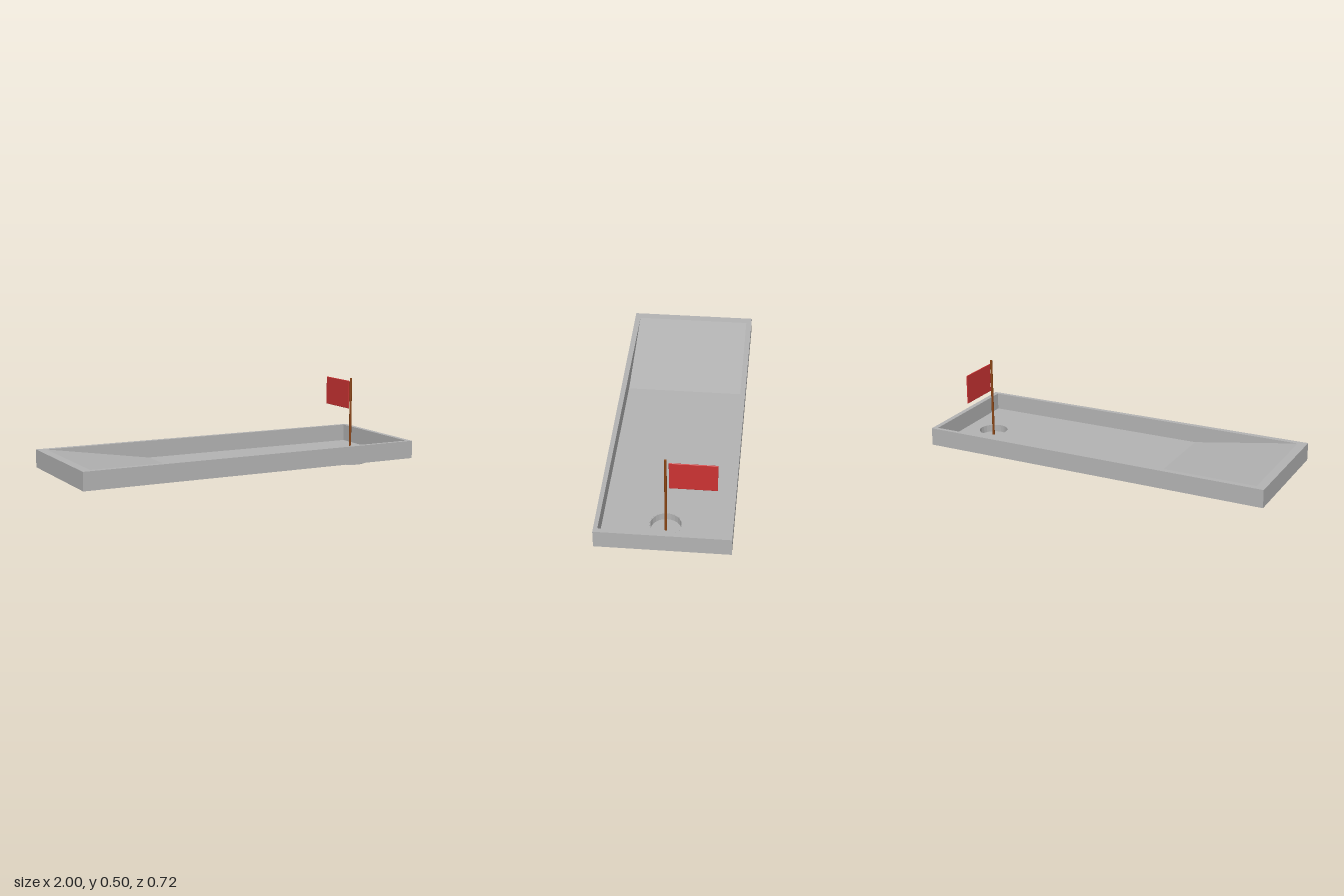
import * as THREE from 'three';
import { RoundedBoxGeometry } from 'three/addons/geometries/RoundedBoxGeometry.js';

export function createModel() {
  const model = new THREE.Group();
  model.name = 'golfPuttingTray';

  const material = (name, color) => {
    const m = new THREE.MeshStandardMaterial({ color });
    m.name = name;
    return m;
  };
  const grey = material('trayGrey', 0xb3b3b3);
  const brown = material('poleBrown', 0x8b4513);
  const red = material('flagRed', 0xcc3333);

  const add = (name, geometry, mat, x = 0, y = 0, z = 0) => {
    const mesh = new THREE.Mesh(geometry, mat);
    mesh.name = name;
    mesh.position.set(x, y, z);
    model.add(mesh);
    return mesh;
  };
  const flat = (geometry) => {
    const g = geometry.index ? geometry.toNonIndexed() : geometry;
    g.computeVertexNormals();
    return g;
  };
  const polygon = (points) => points.map(([x, y]) => new THREE.Vector2(x, y));

  const base = 0.067, floorTop = 0.071, rim = 0.167;
  const cupX = 0.807, cupRadius = 0.084;
  const innerZ = 0.33, rampTopX = -0.95, rampFootX = -0.34, innerEndX = 0.972;

  // Slightly tapered plan, extruded upwards from the underside
  const outline = [[-1, -0.362], [1, -0.352], [1, 0.352], [-1, 0.362]];
  const slab = (hole, height) => {
    const shape = new THREE.Shape(polygon(outline));
    shape.holes.push(hole);
    return new THREE.ExtrudeGeometry(shape, { depth: height, bevelEnabled: false, curveSegments: 24 })
      .rotateX(-Math.PI / 2);
  };

  // Rim walls around the lane
  const lane = new THREE.Path(polygon([
    [rampTopX, -innerZ], [rampTopX, innerZ], [innerEndX, innerZ], [innerEndX, -innerZ],
  ]));
  add('rimWalls', slab(lane, rim - base), grey, 0, base);

  // Floor inside the walls, with the cup opening
  const floorShape = new THREE.Shape(polygon([
    [rampTopX, -innerZ], [innerEndX, -innerZ], [innerEndX, innerZ], [rampTopX, innerZ],
  ]));
  floorShape.holes.push(new THREE.Path().absarc(cupX, 0, cupRadius, 0, Math.PI * 2, true));
  add('floor', new THREE.ExtrudeGeometry(floorShape, {
    depth: floorTop - base, bevelEnabled: false, curveSegments: 24,
  }).rotateX(-Math.PI / 2), grey, 0, base);

  // Entry ramp
  const wedge = new THREE.Shape(polygon([
    [rampTopX, floorTop], [rampFootX, floorTop], [rampTopX, rim],
  ]));
  add('ramp', new THREE.ExtrudeGeometry(wedge, { depth: innerZ * 2, bevelEnabled: false }),
    grey, 0, 0, -innerZ);

  // Hollow cup below the floor
  const cupProfile = polygon([
    [0, 0], [cupRadius, 0], [cupRadius, floorTop],
    [cupRadius - 0.003, floorTop], [cupRadius - 0.003, 0.03], [0, 0.03],
  ]);
  add('cup', flat(new THREE.LatheGeometry(cupProfile, 24)), grey, cupX);

  // Pole standing in the cup
  const poleBottom = 0.02, poleTop = 0.5;
  add('flagPole', new THREE.CylinderGeometry(0.0067, 0.0067, poleTop - poleBottom, 12),
    brown, cupX, (poleTop + poleBottom) / 2);

  // Thin flag with softened edges
  add('flag', new RoundedBoxGeometry(0.006, 0.164, 0.248, 2, 0.003), red, cupX, 0.4, -0.141);

  return model;
}
